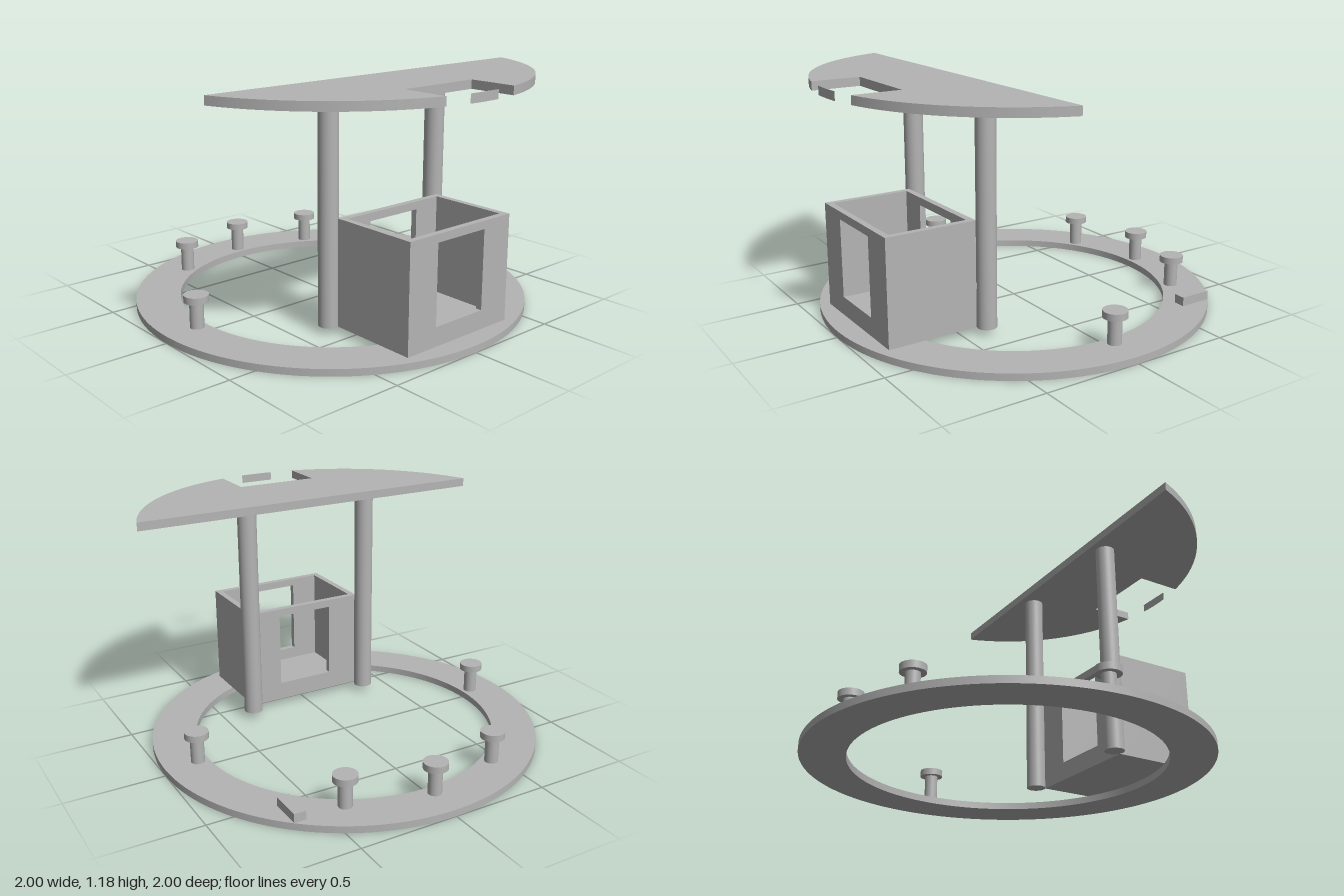
import * as THREE from 'three';
import { toCreasedNormals } from 'three/addons/utils/BufferGeometryUtils.js';

export function createModel() {
  const model = new THREE.Group();
  const grey = new THREE.MeshStandardMaterial({ color: 0xb4b4b4 });
  grey.name = 'plain grey';

  const add = (name, geometry, x = 0, y = 0, z = 0, parent = model) => {
    const mesh = new THREE.Mesh(geometry, grey);
    mesh.name = name;
    mesh.position.set(x, y, z);
    parent.add(mesh);
    return mesh;
  };
  // Flat plate lying in the ground plane, thickened upwards
  const plate = (shape, depth) => toCreasedNormals(
    new THREE.ExtrudeGeometry(shape, { depth, bevelEnabled: false, curveSegments: 96 })
      .rotateX(-Math.PI / 2), 0.5);

  // Ring floor
  const base = 0.035;
  const ring = new THREE.Shape().absarc(0, 0, 1, 0, Math.PI * 2, false);
  ring.holes.push(new THREE.Path().absarc(0, 0, 0.777, 0, Math.PI * 2, true));
  add('ringFloor', plate(ring, base));

  // Round stools along the ring
  const stools = [[0, 0.83], [-0.72, 0.415], [-0.83, 0], [-0.72, -0.415], [0, -0.83]];
  for (const [x, z] of stools) {
    const stool = new THREE.Group();
    stool.name = 'stool';
    stool.position.set(x, base, z);
    add('stoolStem', new THREE.CylinderGeometry(0.034, 0.034, 0.13, 32), 0, 0.065, 0, stool);
    add('stoolSeat', new THREE.CylinderGeometry(0.06, 0.06, 0.034, 40), 0, 0.147, 0, stool);
    model.add(stool);
  }

  // Small block
  add('smallBlock', new THREE.BoxGeometry(0.167, 0.045, 0.06), -0.648, base + 0.0225, -0.65);

  // Roof posts
  for (const z of [0.347, -0.347]) {
    add('roofPost', new THREE.CylinderGeometry(0.049, 0.049, 1.107, 40), 0.384, base + 0.5535, z);
  }

  // Open-topped booth with a window in each end wall
  const x0 = 0.43, x1 = 0.892, wall = 0.032, half = 0.328, height = 0.53;
  const booth = new THREE.Group();
  booth.name = 'booth';
  booth.position.y = base;
  model.add(booth);
  const end = new THREE.Shape()
    .moveTo(-half, 0).lineTo(half, 0).lineTo(half, height).lineTo(-half, height).closePath();
  end.holes.push(new THREE.Path()
    .moveTo(-0.153, 0.095).lineTo(-0.153, 0.49).lineTo(0.153, 0.49).lineTo(0.153, 0.095).closePath());
  for (const x of [x0, x1 - wall]) {
    const g = new THREE.ExtrudeGeometry(end, { depth: wall, bevelEnabled: false }).rotateY(Math.PI / 2);
    add('boothWindowWall', g, x, 0, 0, booth);
  }
  const inner = x1 - x0 - 2 * wall, mid = (x0 + x1) / 2;
  for (const s of [1, -1]) {
    add('boothSideWall', new THREE.BoxGeometry(inner, height, wall), mid, height / 2, s * (half - wall / 2), booth);
  }
  add('boothFloor', new THREE.BoxGeometry(inner, wall, 2 * (half - wall)), mid, wall / 2, 0, booth);

  // Half-disc roof with a notch in its rim
  const r = 0.995, cut = 0.3, notch = 0.216;
  const a = Math.acos(cut / r), b = Math.asin(notch / r);
  const roof = new THREE.Shape()
    .moveTo(cut, -r * Math.sin(a))
    .absarc(0, 0, r, -a, -b, false)
    .lineTo(0.73, -notch)
    .lineTo(0.73, notch)
    .absarc(0, 0, r, b, a, false)
    .closePath();
  add('roof', plate(roof, 0.043), 0, 1.142, 0);

  // Thin sliver left outside the notch
  const c = Math.asin(0.09 / r);
  const sliver = new THREE.Shape().absarc(0, 0, r, -c, c, false).closePath();
  add('roofSliver', plate(sliver, 0.043), 0, 1.142, 0);

  return model;
}
